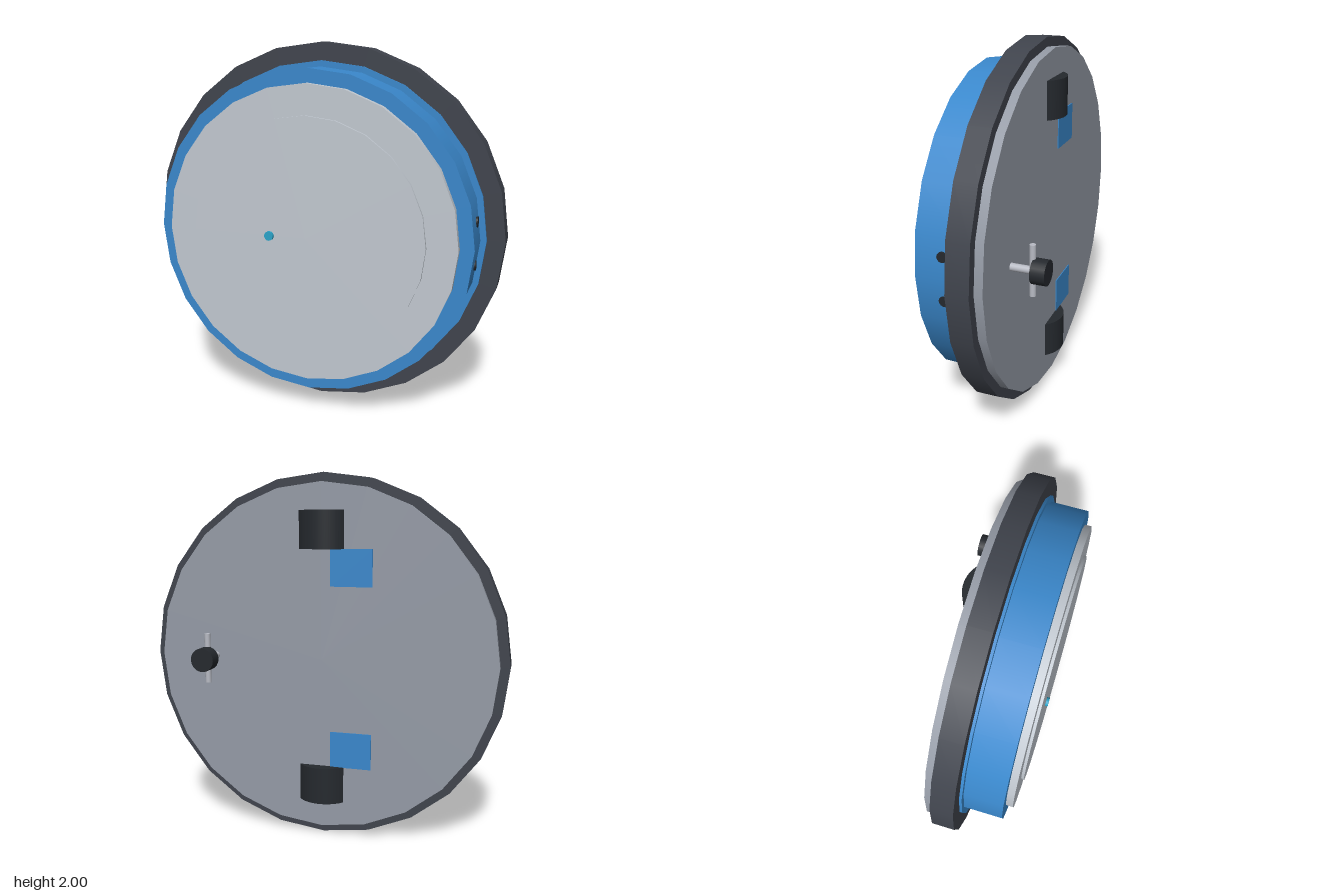
import * as THREE from 'three';

const mat = (color) => new THREE.MeshStandardMaterial({ color });
const dark = mat(0x40444d);
const black = mat(0x25292e);
const blue = mat(0x3a88cc);
const pale = mat(0xc2c9d1);
const steel = mat(0x959ba6);
const metal = mat(0xb8bbc4);
const cyan = mat(0x2aa3c8);

export function createModel() {
  const model = new THREE.Group();

  const add = (name, geometry, material, x = 0, y = 1, z = 0) => {
    const mesh = new THREE.Mesh(geometry, material);
    mesh.name = name;
    mesh.position.set(x, y, z);
    model.add(mesh);
    return mesh;
  };

  // Disc or rod along z, from z0 (back) to z1 (front)
  const disc = (name, radius, z0, z1, material, x = 0, sides = 24) =>
    add(name, new THREE.CylinderGeometry(radius, radius, z1 - z0, sides).rotateX(Math.PI / 2),
      material, x, 1, (z0 + z1) / 2);

  // Main stack, back to front
  disc('backPlate', 0.95, -0.13, -0.086, steel);
  disc('outerRing', 1, -0.086, 0.034, dark);
  disc('flange', 0.905, 0.034, 0.048, blue);
  disc('drum', 0.873, 0.048, 0.253, blue);
  disc('frontCover', 0.8, 0.253, 0.291, pale);
  disc('frontPanel', 0.64, 0.291, 0.306, pale);
  disc('indicator', 0.025, 0.306, 0.321, cyan, -0.2, 16);

  // Two round ports on the left flank
  for (const side of [1, -1]) {
    add('sidePort', new THREE.CylinderGeometry(0.027, 0.027, 0.03, 20).rotateZ(Math.PI / 2),
      black, 0.85, 1 + side * 0.115, 0.112);
  }

  // Rounded bumpers and blue pads on the back, above and below the middle
  const half = Math.asin(0.125 / 0.16);
  const segment = new THREE.Shape();
  segment.absarc(0, 0.03, 0.16, Math.PI / 2 - half, Math.PI / 2 + half);
  segment.closePath();
  const bumper = new THREE.ExtrudeGeometry(segment, { depth: 0.204, bevelEnabled: false, curveSegments: 16 })
    .rotateX(-Math.PI / 2)
    .translate(0, -0.102, 0);
  const pad = new THREE.BoxGeometry(0.23, 0.2, 0.006);
  for (const side of [1, -1]) {
    add('bumper', bumper, black, 0, 1 + side * 0.7, 0);
    add('pad', pad, blue, -0.165, 1 + side * 0.5, -0.132);
  }

  // Turning handle on the back: stem, cross bar and knob
  disc('handleStem', 0.02, -0.255, -0.13, metal, 0.62, 16);
  add('handleBar', new THREE.CylinderGeometry(0.016, 0.016, 0.272, 16), metal, 0.62, 1, -0.243);
  disc('handleKnob', 0.065, -0.323, -0.248, black, 0.62, 20);

  return model;
}
